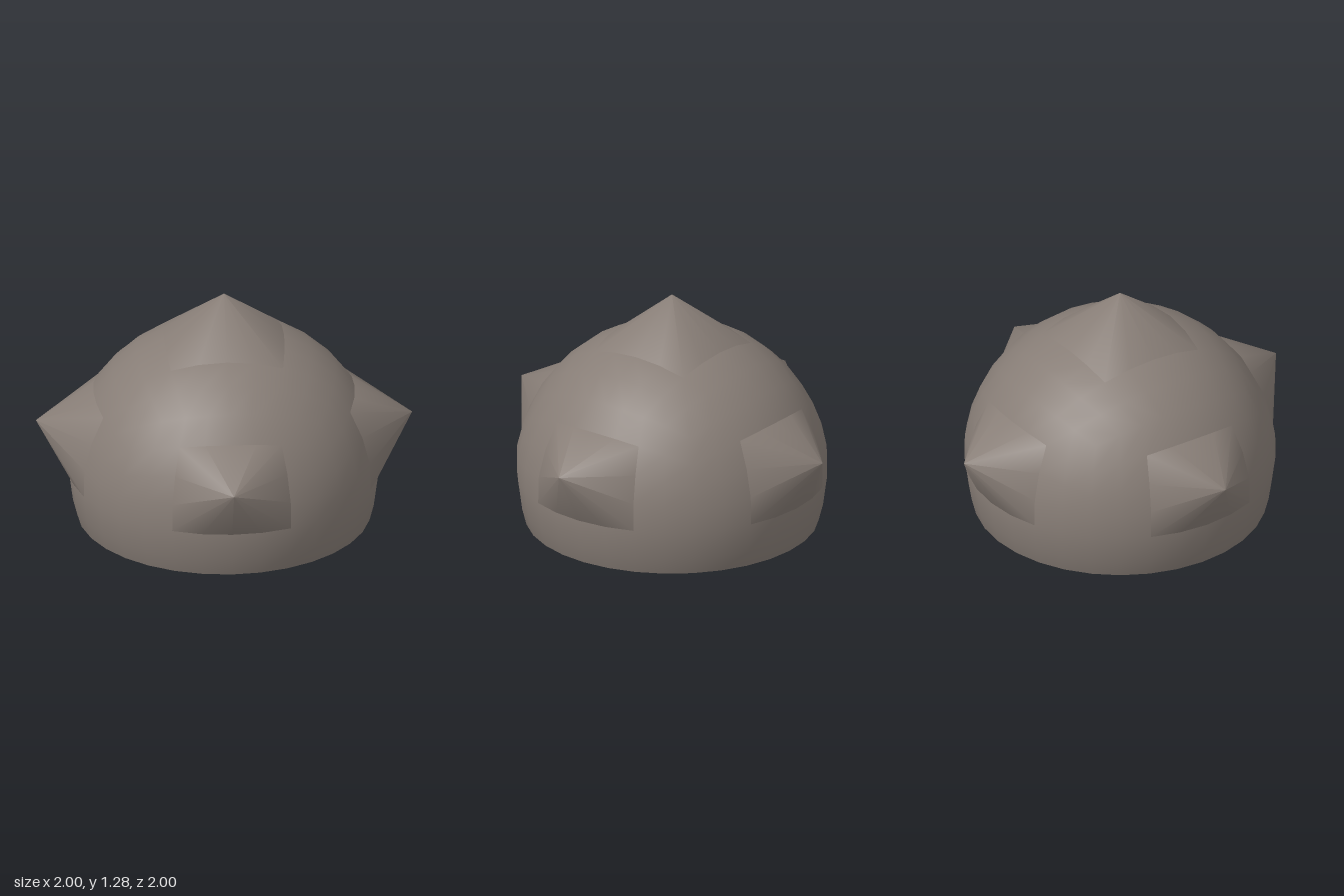
import * as THREE from 'three';
import { toCreasedNormals } from 'three/addons/utils/BufferGeometryUtils.js';

const RADIUS = 0.835;   // dome radius
const CENTRE = 0.255;   // height of the dome centre
const INNER = 0.965;    // inner skin relative to outer skin
const STEP = Math.PI / 16;
// rings below the widest line: [radius, height from the centre]
const SKIRT = [[0.78, -CENTRE], [0.803, -0.165], [0.825, 0]];

// Point on a panel facing +z; i, j count steps from the panel's middle.
function panelPoint(i, j, scale, isSide) {
  const a = i * STEP;
  if (isSide && j <= 0) {
    const [r, y] = SKIRT[j + 2];
    return new THREE.Vector3(r * Math.sin(a) * scale, y, r * Math.cos(a) * scale);
  }
  return new THREE.Vector3(Math.tan(a), Math.tan(j * STEP), 1).setLength(RADIUS * scale);
}

// Smooth curved panel with an opening where its spike stands.
function panelGeometry(isSide, scale, inward) {
  const [hole0, hole1] = isSide ? [0, 3] : [-2, 2];
  const first = isSide ? -2 : -4;
  const positions = [], normals = [], index = [];
  for (let j = first; j <= 4; j++) {
    for (let i = -4; i <= 4; i++) {
      const p = panelPoint(i, j, scale, isSide);
      positions.push(...p.toArray());
      normals.push(...p.normalize().multiplyScalar(inward ? -1 : 1).toArray());
      if (i === 4 || j === 4) continue;
      if (i >= -2 && i < 2 && j >= hole0 && j < hole1) continue;
      const a = (j - first) * 9 + i + 4, b = a + 1, c = a + 10, d = a + 9;
      index.push(...(inward ? [a, c, b, a, d, c] : [a, b, c, a, c, d]));
    }
  }
  const geo = new THREE.BufferGeometry();
  geo.setAttribute('position', new THREE.Float32BufferAttribute(positions, 3));
  geo.setAttribute('normal', new THREE.Float32BufferAttribute(normals, 3));
  geo.setIndex(index);
  return geo;
}

// Four-sided spike: a fan from the tip to the edge of the panel's opening.
function spikeGeometry(isSide, scale, inward) {
  const [j0, j1] = isSide ? [0, 3] : [-2, 2];
  const loop = [];
  for (let i = -2; i < 2; i++) loop.push([i, j0]);
  for (let j = j0; j < j1; j++) loop.push([2, j]);
  for (let i = 2; i > -2; i--) loop.push([i, j1]);
  for (let j = j1; j > j0; j--) loop.push([-2, j]);
  const border = loop.map(([i, j]) => panelPoint(i, j, scale, isSide));
  const tip = (isSide ? new THREE.Vector3(0, 0.305, 1) : new THREE.Vector3(0, 0, 1.025)).multiplyScalar(scale);
  const points = [];
  border.forEach((p, k) => {
    const q = border[(k + 1) % border.length];
    points.push(...(inward ? [tip, q, p] : [tip, p, q]));
  });
  const geo = new THREE.BufferGeometry().setFromPoints(points);
  return toCreasedNormals(geo, Math.PI / 3);
}

export function createModel() {
  const model = new THREE.Group();
  model.name = 'spikedDome';
  const stone = new THREE.MeshStandardMaterial({ color: 0x877d76 });
  stone.name = 'warm grey';

  // one section: outer and inner skins, each with its spike
  function section(name, isSide) {
    const group = new THREE.Group();
    group.name = name;
    for (const inward of [false, true]) {
      const scale = inward ? INNER : 1;
      const skin = new THREE.Mesh(panelGeometry(isSide, scale, inward), stone);
      skin.name = inward ? 'innerSkin' : 'outerSkin';
      const spike = new THREE.Mesh(spikeGeometry(isSide, scale, inward), stone);
      spike.name = inward ? 'spikeHollow' : 'spike';
      group.add(skin, spike);
    }
    group.position.y = CENTRE;
    model.add(group);
    return group;
  }

  // four walls around the dome and the crown on top
  ['frontWall', 'leftWall', 'backWall', 'rightWall'].forEach((name, k) => {
    section(name, true).rotation.y = k * Math.PI / 2;
  });
  section('crown', false).rotation.x = -Math.PI / 2;

  // flat rim closing the gap between the skins
  const rim = new THREE.Mesh(new THREE.RingGeometry(SKIRT[0][0] * INNER, SKIRT[0][0], 32), stone);
  rim.name = 'bottomRim';
  rim.rotation.x = Math.PI / 2;
  model.add(rim);
  return model;
}
